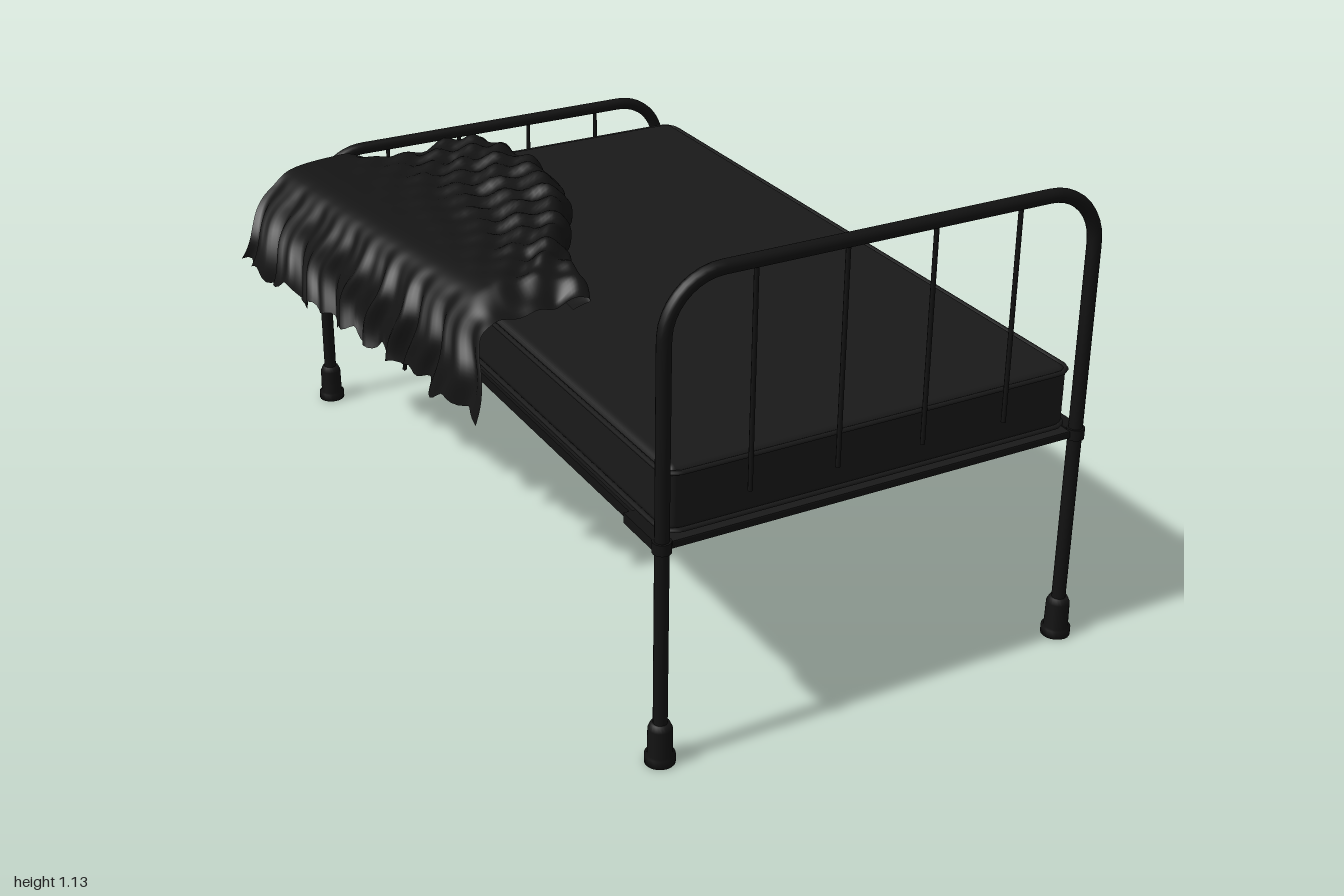
import * as THREE from 'three';
import { RoundedBoxGeometry } from 'three/addons/geometries/RoundedBoxGeometry.js';

const V = (x, y, z) => new THREE.Vector3(x, y, z);
const XL = -0.4, XR = 0.65, XM = (XL + XR) / 2, ZE = 0.963, RAIL = 0.525;
const iron = new THREE.MeshStandardMaterial({ color: 0x121212 });
const cloth = new THREE.MeshStandardMaterial({ color: 0x1a1a1a });
const blanketMat = new THREE.MeshStandardMaterial({ color: 0x141414, side: THREE.DoubleSide });

function add(parent, name, geometry, material, x = 0, y = 0, z = 0) {
  const mesh = new THREE.Mesh(geometry, material);
  mesh.name = name;
  mesh.position.set(x, y, z);
  parent.add(mesh);
  return mesh;
}

// Bed end: bent tube hoop, spindles, feet and cross rail
function bedEnd(name, z, height, spindleBottom) {
  const g = new THREE.Group();
  g.name = name;
  const r = 0.13, top = height - 0.016;
  const path = new THREE.CurvePath();
  const corner = (cx, a0, a1) => {
    const pts = [];
    for (let i = 0; i <= 10; i++) {
      const a = a0 + (a1 - a0) * i / 10;
      pts.push(V(cx + r * Math.cos(a), top - r + r * Math.sin(a), 0));
    }
    return new THREE.CatmullRomCurve3(pts);
  };
  path.add(new THREE.LineCurve3(V(XL, 0.05, 0), V(XL, top - r, 0)));
  path.add(corner(XL + r, Math.PI, Math.PI / 2));
  path.add(new THREE.LineCurve3(V(XL + r, top, 0), V(XR - r, top, 0)));
  path.add(corner(XR - r, Math.PI / 2, 0));
  path.add(new THREE.LineCurve3(V(XR, top - r, 0), V(XR, 0.05, 0)));
  add(g, 'hoop', new THREE.TubeGeometry(path, 140, 0.016, 14), iron);

  for (const x of [-0.195, 0.018, 0.232, 0.445]) {
    const h = top - spindleBottom;
    add(g, 'spindle', new THREE.CylinderGeometry(0.0055, 0.0055, h, 8), iron, x, spindleBottom + h / 2, 0);
  }
  const foot = [[0, 0], [0.034, 0], [0.034, 0.02], [0.028, 0.022], [0.027, 0.085], [0.021, 0.098], [0, 0.098]];
  for (const x of [XL, XR]) {
    add(g, 'foot', new THREE.LatheGeometry(foot.map(p => new THREE.Vector2(...p)), 20), iron, x, 0, 0);
    add(g, 'collar', new THREE.CylinderGeometry(0.021, 0.021, 0.026, 16), iron, x, RAIL, 0);
    add(g, 'cornerBracket', new THREE.BoxGeometry(0.036, 0.024, 0.13), iron,
      x - Math.sign(x) * 0.003, RAIL, -Math.sign(z) * 0.072);
  }
  // Angle iron cross rail
  const s = -Math.sign(z);
  add(g, 'crossRail', new THREE.BoxGeometry(XR - XL, 0.008, 0.035), iron, XM, RAIL - 0.006, s * 0.053);
  add(g, 'crossRailLip', new THREE.BoxGeometry(XR - XL, 0.022, 0.008), iron, XM, RAIL, s * 0.036);
  add(g, 'spindleRail', new THREE.BoxGeometry(XR - XL, 0.014, 0.014), iron, XM, RAIL, 0);
  g.position.z = z;
  return g;
}

// Mattress with piped edges
function mattress() {
  const g = new THREE.Group();
  g.name = 'mattress';
  const x0 = -0.387, x1 = 0.633, z0 = -0.855, z1 = 0.955, cx = (x0 + x1) / 2, cz = (z0 + z1) / 2;
  add(g, 'mattressBody', new RoundedBoxGeometry(x1 - x0 - 0.01, 0.155, z1 - z0 - 0.01, 4, 0.022), cloth, cx, 0.6125, cz);
  for (const y of [0.678, 0.546]) {
    const pts = [], r = 0.035;
    [[x1 - r, z1 - r, 0], [x0 + r, z1 - r, 1], [x0 + r, z0 + r, 2], [x1 - r, z0 + r, 3]].forEach(([x, z, q]) => {
      for (let i = 0; i <= 4; i++) {
        const a = (q + i / 4) * Math.PI / 2;
        pts.push(V(x + r * Math.cos(a), y, z + r * Math.sin(a)));
      }
    });
    const loop = new THREE.CurvePath();
    pts.forEach((p, i) => loop.add(new THREE.LineCurve3(p, pts[(i + 1) % pts.length])));
    add(g, 'piping', new THREE.TubeGeometry(loop, 240, 0.006, 6, true), cloth);
  }
  add(g, 'basePanel', new THREE.BoxGeometry(x1 - x0 - 0.01, 0.016, z1 - z0 + 0.03), cloth, cx, 0.527, cz);
  return g;
}

// Rumpled blanket: cross-sections swept along z, hem hanging over the right side
function blanket() {
  const NU = 90, NV = 110, pos = [], idx = [];
  const lerp = THREE.MathUtils.lerp, step = THREE.MathUtils.smoothstep;
  const inner = new THREE.SplineCurve([[0, 0.02], [0.2, 0.05], [0.38, 0.065], [0.52, 0.045], [0.7, -0.04],
    [0.87, -0.13], [1, -0.16]].map(p => new THREE.Vector2(...p)));
  for (let j = 0; j <= NV; j++) {
    const t = j / NV, xi = inner.getPoint(t).y;
    const xo = lerp(-0.66, -0.49, Math.pow(t, 0.85)), xs = lerp(-0.54, -0.425, t);
    const low = 0.05 * step(t, 0.9, 1);
    const puff = 0.02 * Math.sin(Math.PI * Math.min(1, t * 1.1));
    const hem = 0.505 + 0.012 * Math.sin(t * 41) + 0.01 * Math.sin(t * 97 + 1) - 0.015 * step(t, 0.92, 1);
    const section = new THREE.CatmullRomCurve3([
      V(xo, hem, 0), V(lerp(xo, xs, 0.3), 0.61, 0), V(lerp(xo, xs, 0.75), 0.69, 0), V(xs + 0.02, 0.735 - low * 0.5, 0),
      V(-0.36, 0.757 - low, 0), V(lerp(-0.36, xi, 0.45), 0.76 + puff * 0.5 - low, 0),
      V(xi - 0.06, 0.772 + puff - low, 0), V(xi - 0.005, 0.755 - low * 0.6, 0),
      V(xi - 0.005, 0.715, 0), V(xi - 0.05, 0.697, 0)]);
    for (let i = 0; i <= NU; i++) {
      const u = i / NU, p = section.getPoint(u);
      const z = lerp(-0.87, 0.195, t);
      // Vertical folds on the drape, diagonal wrinkles on the bunched top
      const drape = 1 - step(u, 0.05, 0.38), bunch = step(u, 0.4, 0.6) * (1 - step(u, 0.82, 1));
      p.x += drape * (0.012 * Math.sin(t * 52 + 2 * Math.sin(t * 9)) + 0.006 * Math.sin(t * 113));
      p.y += bunch * (0.008 * Math.sin(p.x * 60 + z * 28 + 2 * Math.sin(z * 9)) + 0.006 * Math.sin(p.x * 35 - z * 70));
      p.x += bunch * 0.006 * Math.sin(z * 45 + 1);
      p.z = z + drape * (0.02 * Math.sin(u * 25 + t * 6) + 0.05 * step(t, 0.85, 1) * (1 - u / 0.38));
      // Back edge falls over the foot end of the mattress
      const over = (1 - step(t, 0, 0.08)) * step(p.x, -0.36, -0.1);
      p.y = lerp(p.y, 0.58 + 0.02 * Math.sin(p.x * 50), over * 0.9);
      p.z -= 0.06 * over;
      pos.push(p.x, p.y, p.z);
      if (i < NU && j < NV) {
        const a = j * (NU + 1) + i, b = a + NU + 1;
        idx.push(a, b, a + 1, b, b + 1, a + 1);
      }
    }
  }
  const geo = new THREE.BufferGeometry();
  geo.setAttribute('position', new THREE.Float32BufferAttribute(pos, 3));
  geo.setIndex(idx);
  geo.computeVertexNormals();
  return geo;
}

export function createModel() {
  const bed = new THREE.Group();
  bed.name = 'bed';
  bed.add(bedEnd('headboard', ZE, 1.128, 0.6));
  bed.add(bedEnd('footboard', -ZE, 0.743, RAIL));
  // Angle iron side rails
  for (const x of [XL, XR]) {
    const s = Math.sign(x);
    add(bed, 'sideRail', new THREE.BoxGeometry(0.008, 0.024, 2 * ZE), iron, x - s * 0.002, RAIL, 0);
    add(bed, 'sideRailFlange', new THREE.BoxGeometry(0.026, 0.006, 2 * ZE), iron, x - s * 0.014, RAIL - 0.009, 0);
  }
  bed.add(mattress());
  add(bed, 'blanket', blanket(), blanketMat);
  return bed;
}
